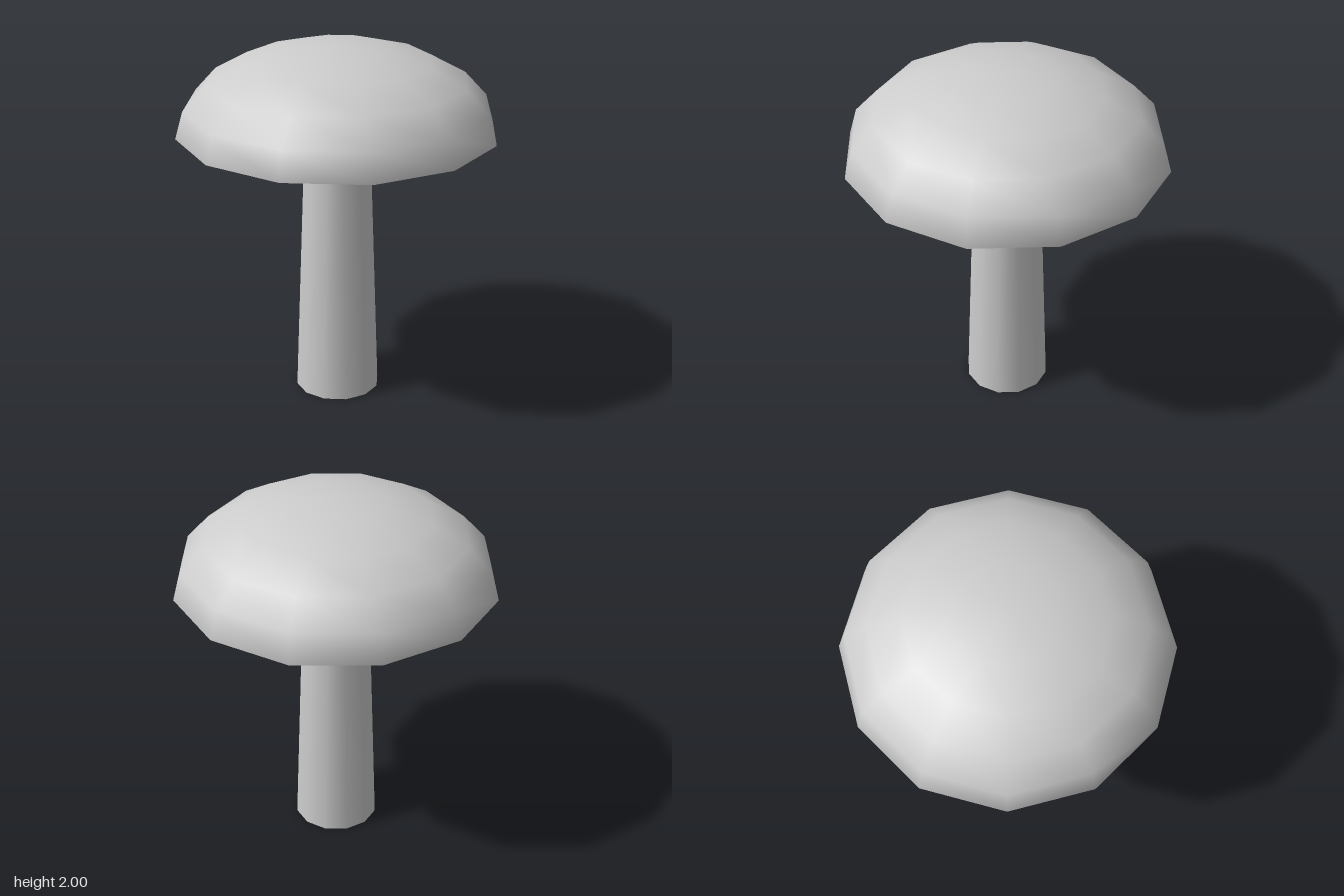
import * as THREE from 'three';

export function createModel() {
  const model = new THREE.Group();
  const grey = new THREE.MeshStandardMaterial({ color: 0xcccccc, side: THREE.DoubleSide });
  grey.name = 'light grey';

  const sides = 12;
  const rimY = 1.525;
  const capRadius = 0.867;

  function add(name, geometry, y) {
    const mesh = new THREE.Mesh(geometry, grey);
    mesh.name = name;
    mesh.position.y = y;
    model.add(mesh);
    return mesh;
  }

  // Domed cap: a flattened, open half sphere
  const dome = new THREE.SphereGeometry(capRadius, sides, 5, 0, Math.PI * 2, 0, Math.PI / 2);
  dome.scale(1, (2 - rimY) / capRadius, 1);
  add('cap', dome, rimY);

  // Underside: a very shallow cone pointing down, set just inside the rim
  const coneHeight = 0.045;
  const under = new THREE.CylinderGeometry(0.85, 0, coneHeight, sides, 1, true);
  add('capUnderside', under, rimY + 0.002 - coneHeight / 2);

  // Tapered stem, open at the bottom
  const stemHeight = 1.5;
  const stem = new THREE.CylinderGeometry(0.18, 0.237, stemHeight, sides, 1, true);
  add('stem', stem, stemHeight / 2);

  return model;
}
